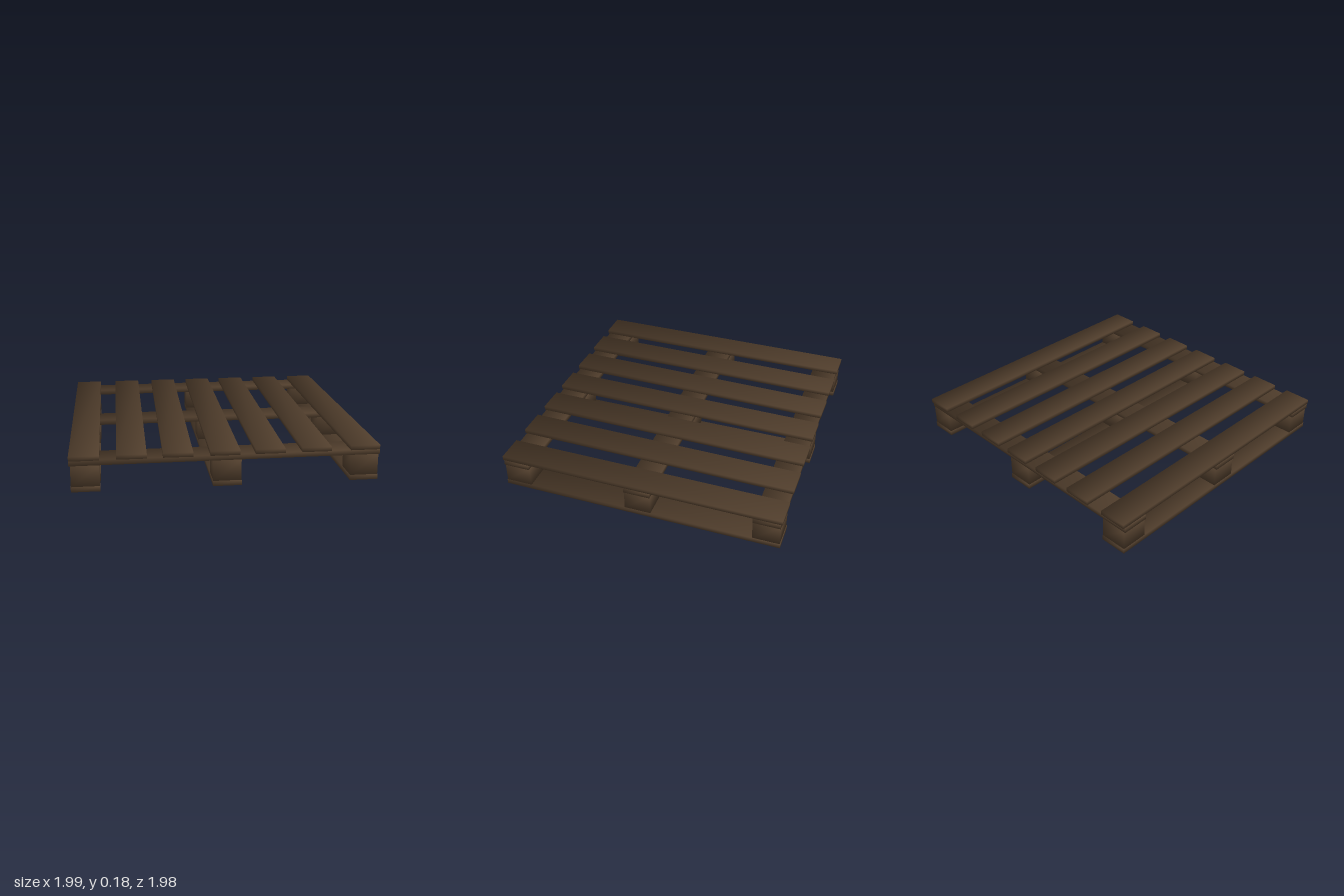
import * as THREE from 'three';

const wood = new THREE.MeshStandardMaterial({ color: 0x523f2d });
wood.name = 'dark brown wood';

// Board with soft corner normals, so each plank shades as if rounded
function softBox(w, h, d) {
  const geometry = new THREE.BoxGeometry(w, h, d);
  const p = geometry.attributes.position;
  const n = geometry.attributes.normal;
  const k = 1 / Math.sqrt(3);
  for (let i = 0; i < p.count; i++) {
    n.setXYZ(i, Math.sign(p.getX(i)) * k, Math.sign(p.getY(i)) * k, Math.sign(p.getZ(i)) * k);
  }
  return geometry;
}

export function createModel() {
  const model = new THREE.Group();
  model.name = 'pallet';
  const frame = new THREE.Group();
  frame.name = 'palletFrame';
  frame.rotation.y = THREE.MathUtils.degToRad(23);
  model.add(frame);

  function add(name, geometry, x, y, z, turn = 0) {
    const mesh = new THREE.Mesh(geometry, wood);
    mesh.name = name;
    mesh.position.set(x, y, z);
    mesh.rotation.y = turn;
    frame.add(mesh);
  }

  const columns = [-0.69, 0, 0.69];
  const rows = [-0.672, 0, 0.672];

  // Bottom skids with three spacer blocks each
  const skid = softBox(0.142, 0.026, 1.49);
  const block = softBox(0.14, 0.106, 0.14);
  for (const x of columns) {
    add('bottomSkid', skid, x, 0.013, 0);
    for (const z of rows) add('spacerBlock', block, x, 0.079, z);
  }

  // Cross boards resting on the blocks
  const crossBoard = softBox(1.535, 0.027, 0.14);
  for (const z of rows) add('crossBoard', crossBoard, 0, 0.1455, z);

  // Top deck: seven slats, the inner ones laid slightly askew
  const slat = softBox(0.147, 0.023, 1.5);
  const slats = [
    [-0.692, -0.002], [-0.457, -0.012], [-0.228, -0.018], [0, -0.014],
    [0.222, -0.012], [0.452, -0.01], [0.692, -0.002],
  ];
  for (const [x, turn] of slats) add('deckSlat', slat, x, 0.1705, 0, turn);

  return model;
}
